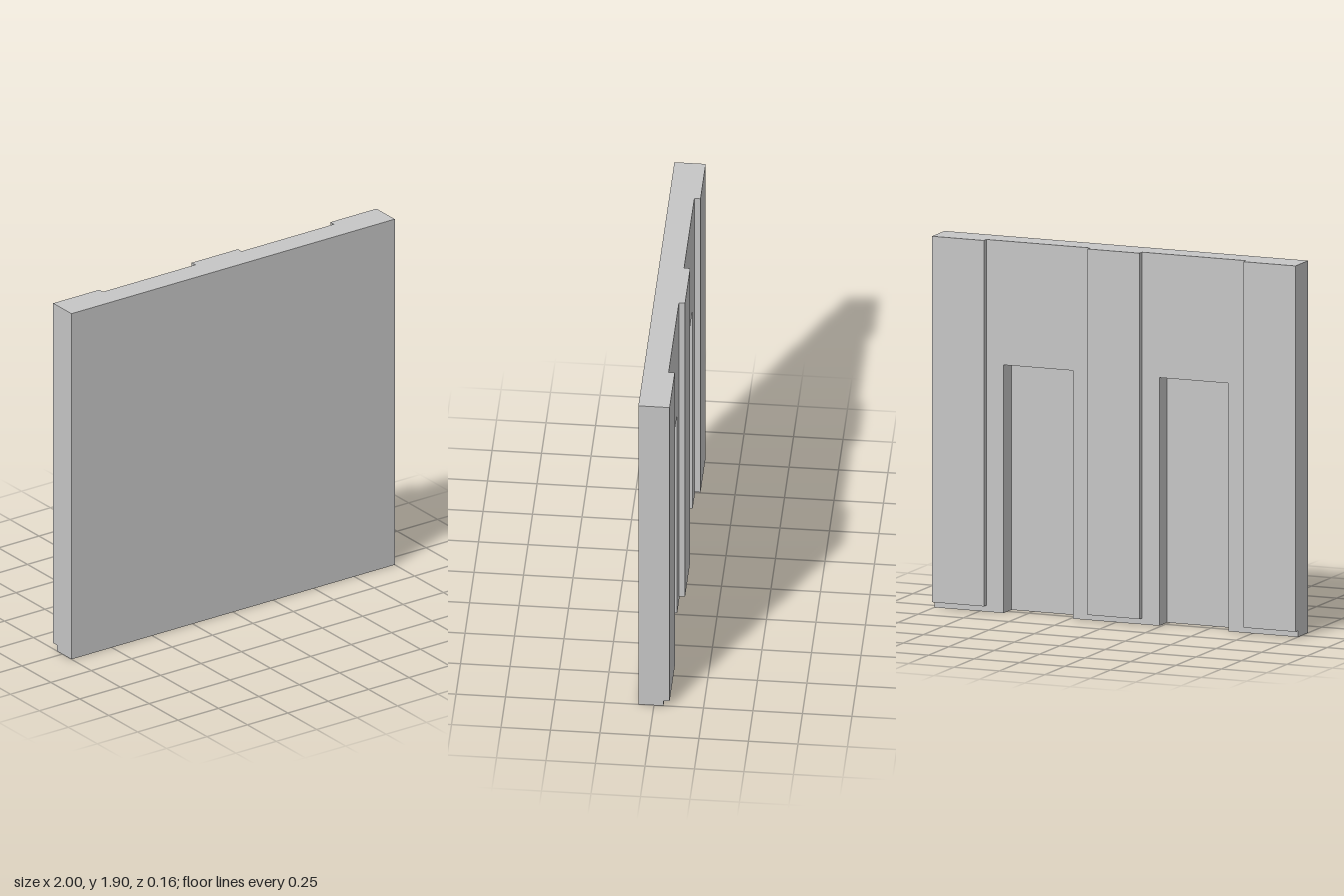
import * as THREE from 'three';

export function createModel() {
  const group = new THREE.Group();
  group.name = 'wallPanel';
  const grey = new THREE.MeshStandardMaterial({ color: 0xc6c6c6 });
  grey.name = 'plaster light grey';

  const height = 1.905;
  const front = 0.079, nicheBack = 0.048, wallBack = -0.048, pilasterBack = -0.079;
  const nicheTop = 1.27, nicheInner = 0.238, nicheOuter = 0.619;
  const pilasterWidth = 0.286, pilasterBottom = 0.032;

  const add = (name, geometry, x, y, z) => {
    const mesh = new THREE.Mesh(geometry, grey);
    mesh.name = name;
    mesh.position.set(x, y, z);
    group.add(mesh);
  };

  // Plain sheet closing the front
  add('frontSheet', new THREE.BoxGeometry(2, height, front - nicheBack),
    0, height / 2, (front + nicheBack) / 2);

  // Wall body with two door-shaped niches open at the foot
  const outline = new THREE.Shape();
  outline.moveTo(-1, 0);
  for (const [a, b] of [[-nicheOuter, -nicheInner], [nicheInner, nicheOuter]]) {
    outline.lineTo(a, 0);
    outline.lineTo(a, nicheTop);
    outline.lineTo(b, nicheTop);
    outline.lineTo(b, 0);
  }
  outline.lineTo(1, 0);
  outline.lineTo(1, height);
  outline.lineTo(-1, height);
  outline.closePath();
  add('wallBody', new THREE.ExtrudeGeometry(outline,
    { depth: nicheBack - wallBack, bevelEnabled: false }), 0, 0, wallBack);

  // Three raised pilasters on the back, stopping short of the foot
  for (const [name, x] of [['rightPilaster', -1 + pilasterWidth / 2], ['middlePilaster', 0],
    ['leftPilaster', 1 - pilasterWidth / 2]]) {
    add(name, new THREE.BoxGeometry(pilasterWidth, height - pilasterBottom, wallBack - pilasterBack),
      x, (height + pilasterBottom) / 2, (wallBack + pilasterBack) / 2);
  }
  return group;
}
